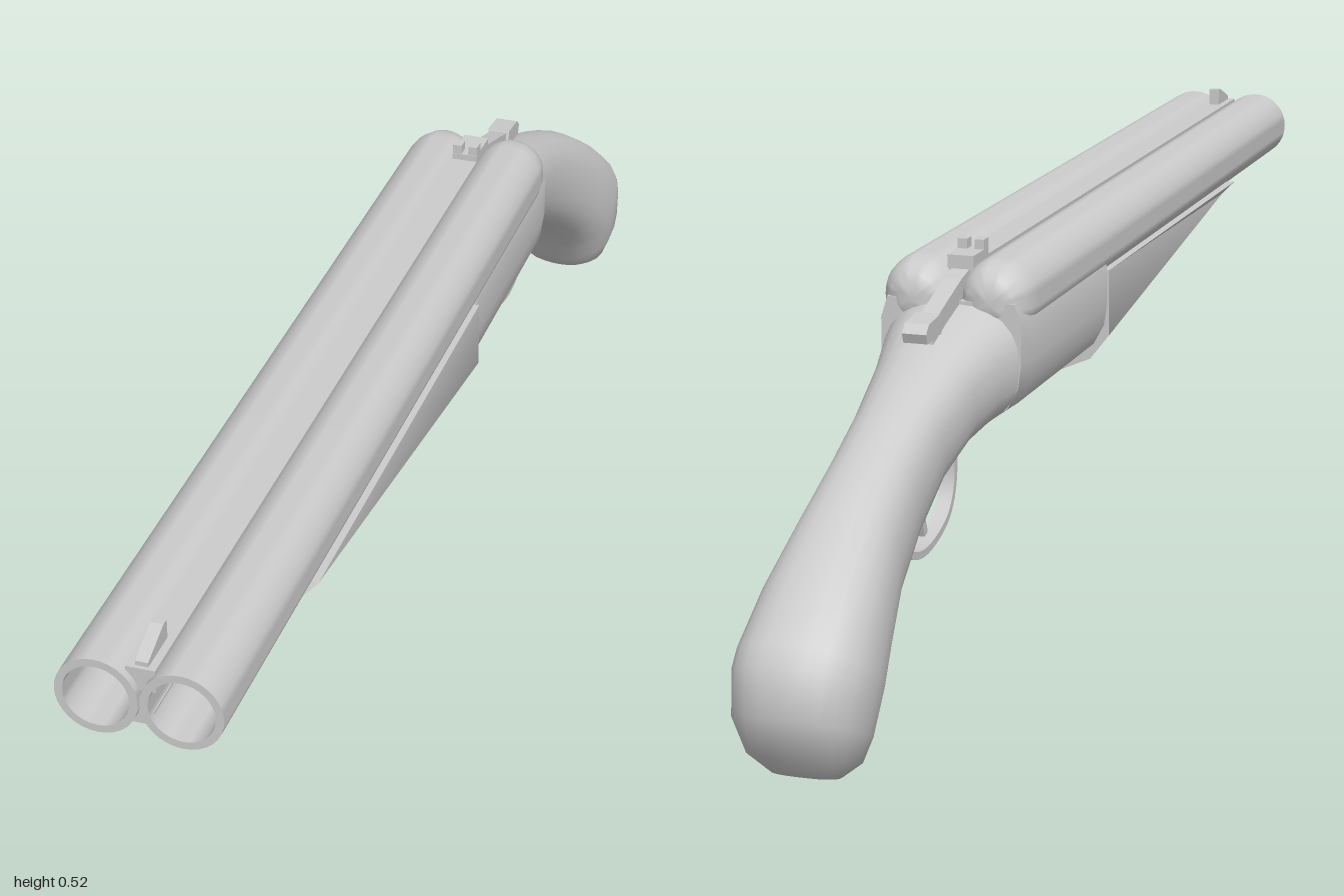
import * as THREE from 'three';
import { toCreasedNormals } from 'three/addons/utils/BufferGeometryUtils.js';

const material = new THREE.MeshStandardMaterial({ color: 0xcccccc, side: THREE.DoubleSide });

function add(parent, name, geometry, x = 0, y = 0, z = 0) {
  const mesh = new THREE.Mesh(geometry, material);
  mesh.name = name;
  mesh.position.set(x, y, z);
  parent.add(mesh);
  return mesh;
}

// Skin over closed rings, counter-clockwise seen from the front, running towards -z
function loft(rings, crease = 0.7) {
  const n = rings[0].length, index = [];
  rings.slice(1).forEach((_, i) => {
    for (let j = 0; j < n; j++) {
      const a = i * n + j, b = i * n + (j + 1) % n;
      index.push(a, a + n, b, b, a + n, b + n);
    }
  });
  const last = (rings.length - 1) * n;
  for (let j = 1; j < n - 1; j++) index.push(0, j, j + 1, last, last + j + 1, last + j);
  const g = new THREE.BufferGeometry();
  g.setAttribute('position', new THREE.Float32BufferAttribute(rings.flat(2), 3));
  g.setIndex(index);
  return toCreasedNormals(g, crease);
}

// Mirror the right half of a section [x, y, z], listed from bottom to top
const mirrorRing = half => [...half, ...half.slice().reverse().map(([x, y, z]) => [-x, y, z])];

// Rectangular strip following a [z, y] path in the centre plane
function strip(path, width, thickness, samples = 20) {
  const curve = new THREE.CatmullRomCurve3(path.map(([z, y]) => new THREE.Vector3(0, y, z)));
  const rings = [];
  for (let i = 0; i <= samples; i++) {
    const p = curve.getPoint(i / samples), t = curve.getTangent(i / samples);
    rings.push([[1, -1], [1, 1], [-1, 1], [-1, -1]].map(([r, u]) =>
      [r * width / 2, p.y - u * t.z * thickness / 2, p.z + u * t.y * thickness / 2]));
  }
  return loft(rings);
}

// Side outline [z, y] extruded across x
function slab(outline, width) {
  const shape = new THREE.Shape(outline.map(([z, y]) => new THREE.Vector2(-z, y)));
  const g = new THREE.ExtrudeGeometry(shape, { depth: width, bevelEnabled: false });
  return g.translate(0, 0, -width / 2).rotateY(Math.PI / 2);
}

export function createModel() {
  const model = new THREE.Group();

  // Barrels: bore, muzzle ring, tube and rounded breech in one profile
  const profile = [[0, 0.6], [0.041, 0.6], [0.041, 1], [0.051, 1], [0.051, -0.335],
    [0.049, -0.355], [0.043, -0.373], [0.032, -0.386], [0.017, -0.392], [0, -0.394]];
  const barrel = toCreasedNormals(new THREE.LatheGeometry(
    profile.map(([r, z]) => new THREE.Vector2(r, z)).reverse(), 32), 0.7).rotateX(Math.PI / 2);
  add(model, 'leftBarrel', barrel, 0.052, 0.459, 0);
  add(model, 'rightBarrel', barrel, -0.052, 0.459, 0);

  // Rib joining the barrels
  add(model, 'rib', new THREE.BoxGeometry(0.036, 0.03, 1.34), 0, 0.487, 0.32);
  add(model, 'lowerRib', new THREE.BoxGeometry(0.03, 0.02, 1.34), 0, 0.435, 0.32);

  // Sights
  add(model, 'frontSight', slab([[0.985, 0.5], [0.985, 0.508], [0.935, 0.527], [0.925, 0.527], [0.925, 0.5]], 0.016));
  const rearSight = new THREE.Group();
  rearSight.name = 'rearSight';
  add(rearSight, 'sightBase', new THREE.BoxGeometry(0.036, 0.012, 0.06), 0, 0.505, -0.32);
  for (const s of [-1, 1]) add(rearSight, 'sightPost', new THREE.BoxGeometry(0.013, 0.02, 0.018), s * 0.0115, 0.514, -0.3);
  model.add(rearSight);

  // Forend: wide at the back, bevelled and shallow at the tip
  add(model, 'forend', loft([
    mirrorRing([[0.02, 0.35, 0.7], [0.05, 0.376, 0.69], [0.08, 0.403, 0.68], [0.102, 0.425, 0.67]]),
    mirrorRing([[0.025, 0.278, -0.02], [0.075, 0.3, -0.02], [0.102, 0.335, -0.02], [0.102, 0.428, -0.02]])
  ]));

  // Receiver
  const receiverRing = z => mirrorRing([[0.025, 0.296, z], [0.055, 0.304, z], [0.08, 0.322, z],
    [0.095, 0.35, z], [0.099, 0.38, z], [0.099, 0.432, z], [0.09, 0.46, z]]);
  add(model, 'receiver', loft([receiverRing(-0.02), receiverRing(-0.355),
    receiverRing(-0.39).map(([x, y, z]) => [x * 0.96, y, z])]));

  // Grip stations: top z, top y, bottom z, bottom y, half width
  const stations = [
    [-0.385, 0.458, -0.385, 0.297, 0.094], [-0.44, 0.443, -0.425, 0.294, 0.083],
    [-0.51, 0.42, -0.475, 0.284, 0.07], [-0.61, 0.383, -0.56, 0.253, 0.06],
    [-0.7, 0.346, -0.65, 0.206, 0.06], [-0.79, 0.304, -0.73, 0.158, 0.066],
    [-0.89, 0.242, -0.785, 0.118, 0.078], [-0.965, 0.186, -0.82, 0.082, 0.085],
    [-0.985, 0.165, -0.832, 0.068, 0.085], [-0.996, 0.105, -0.853, 0.038, 0.081],
    [-0.975, 0.05, -0.87, 0.016, 0.068], [-0.945, 0.017, -0.89, 0.003, 0.042]];
  const round = v => Math.sign(v) * Math.abs(v) ** 0.82;
  add(model, 'grip', loft(stations.map(([tz, ty, bz, by, w], i) =>
    Array.from({ length: 24 }, (_, j) => {
      const a = j / 24 * Math.PI * 2, c = round(Math.cos(a)), s = round(Math.sin(a));
      return [c * w - 0.005 * i / 11, (ty + by) / 2 + s * (ty - by) / 2, (tz + bz) / 2 + s * (tz - bz) / 2];
    })), 1));

  // Top lever with its thumb piece
  add(model, 'topLever', slab([[-0.34, 0.495], [-0.38, 0.487], [-0.49, 0.453], [-0.49, 0.425], [-0.34, 0.44]], 0.024));
  add(model, 'thumbPiece', slab([[-0.465, 0.445], [-0.472, 0.462], [-0.515, 0.458], [-0.527, 0.447], [-0.522, 0.434], [-0.47, 0.436]], 0.032));

  // Trigger guard and trigger
  add(model, 'triggerGuard', strip([[-0.405, 0.305], [-0.403, 0.225], [-0.425, 0.188], [-0.47, 0.168],
    [-0.53, 0.162], [-0.585, 0.18], [-0.645, 0.23]], 0.02, 0.01, 28));
  add(model, 'trigger', strip([[-0.49, 0.3], [-0.505, 0.255], [-0.518, 0.215], [-0.508, 0.182]], 0.014, 0.012, 10));

  return model;
}
